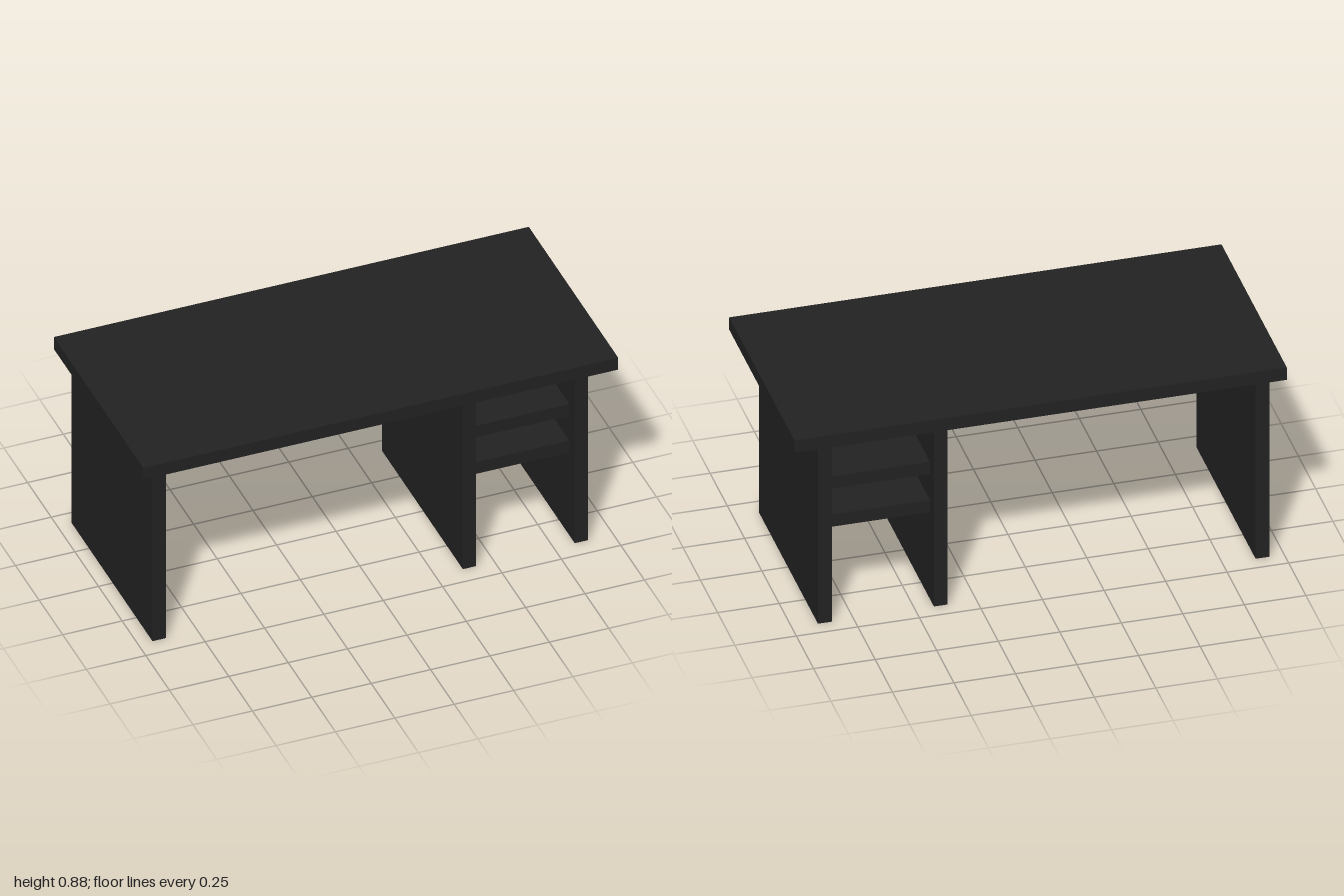
import * as THREE from 'three';

export function createModel() {
  const desk = new THREE.Group();
  desk.name = 'desk';

  const blackWood = new THREE.MeshStandardMaterial({ color: 0x222222 });
  blackWood.name = 'black wood';

  // Adds a board spanning the given [min, max] ranges
  function board(name, [x0, x1], [y0, y1], [z0, z1]) {
    const mesh = new THREE.Mesh(new THREE.BoxGeometry(x1 - x0, y1 - y0, z1 - z0), blackWood);
    mesh.position.set((x0 + x1) / 2, (y0 + y1) / 2, (z0 + z1) / 2);
    mesh.name = name;
    desk.add(mesh);
  }

  const thickness = 0.056;
  const topUnderside = 0.828;

  // Overhanging top
  board('tableTop', [-1, 1], [topUnderside, 0.885], [-0.473, 0.473]);

  // Upright panels, the last two holding the shelves
  const panels = { rightPanel: -0.94, middlePanel: 0.367, leftPanel: 0.838 };
  for (const [name, x] of Object.entries(panels)) {
    board(name, [x, x + thickness], [0, topUnderside], [-0.435, 0.42]);
  }

  // Shelves, set back from the panel edges
  const shelves = { lowerShelf: 0.4, upperShelf: 0.576 };
  for (const [name, y] of Object.entries(shelves)) {
    board(name, [panels.middlePanel + thickness, panels.leftPanel], [y, y + thickness], [-0.377, 0.363]);
  }

  return desk;
}
